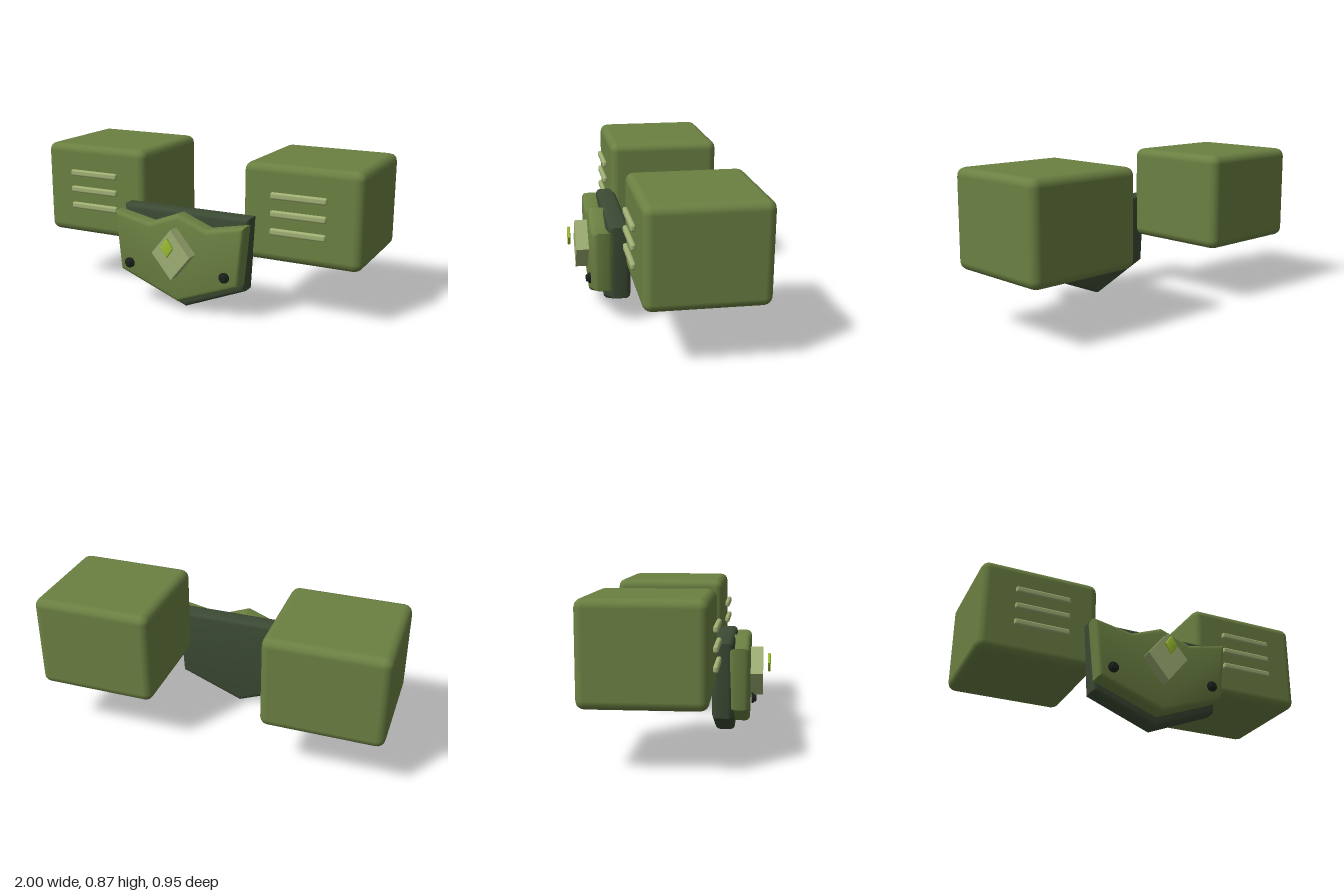
import * as THREE from 'three';
import { toCreasedNormals } from 'three/addons/utils/BufferGeometryUtils.js';
import { RoundedBoxGeometry } from 'three/addons/geometries/RoundedBoxGeometry.js';

const material = (name, color) => {
  const m = new THREE.MeshStandardMaterial({ color });
  m.name = name;
  return m;
};

// Mirrored outline from right-half points, listed from bottom centre to top centre
function mirroredShape(half) {
  const left = half.filter(([x]) => x > 0).map(([x, y]) => [-x, y]).reverse();
  return new THREE.Shape([...half, ...left].map(([x, y]) => new THREE.Vector2(x, y)));
}

// Bevelled plate filling exactly z0..z1 and the given outline
function plate(half, z0, z1, bevel) {
  const geo = new THREE.ExtrudeGeometry(mirroredShape(half), {
    depth: z1 - z0 - 2 * bevel,
    bevelEnabled: bevel > 0,
    bevelThickness: bevel,
    bevelSize: bevel,
    bevelOffset: -bevel,
    bevelSegments: 3,
  });
  geo.translate(0, 0, z0 + bevel);
  return toCreasedNormals(geo, 0.6);
}

export function createModel() {
  const model = new THREE.Group();
  model.name = 'armourBelt';

  const olive = material('olive', 0x6b8042);
  const darkGreen = material('darkGreen', 0x3c4a34);
  const paleGreen = material('paleGreen', 0xa0b074);
  const lime = material('lime', 0x9fc030);
  const black = material('black', 0x1c211d);

  const add = (name, geo, mat, x = 0, y = 0, z = 0) => {
    const mesh = new THREE.Mesh(geo, mat);
    mesh.name = name;
    mesh.position.set(x, y, z);
    model.add(mesh);
    return mesh;
  };

  // Centre buckle: back plate, notched front plate, diamond and gem
  add('backPlate', plate([[0, 0], [0.372, 0.15], [0.396, 0.57]], 0.155, 0.272, 0.028), darkGreen);
  add('frontPlate', plate([[0, 0.055], [0.375, 0.2], [0.408, 0.545], [0.18, 0.5], [0, 0.57]], 0.25, 0.36, 0.028), olive);
  add('diamond', plate([[0, 0.213], [0.118, 0.357], [0, 0.5]], 0.362, 0.434, 0), paleGreen);
  add('gem', plate([[0, 0.353], [0.037, 0.408], [0, 0.463]], 0.461, 0.477, 0.004), lime);

  // Shared geometry for the mirrored parts
  const podGeo = new RoundedBoxGeometry(0.685, 0.545, 0.655, 2, 0.048);
  const ventGeo = new RoundedBoxGeometry(0.32, 0.038, 0.028, 2, 0.012);
  const rivetProfile = [[0, 0], [0.03, 0], [0.03, 0.01], [0.021, 0.012], [0.02, 0.022], [0.015, 0.026], [0, 0.026]];
  const rivetGeo = toCreasedNormals(
    new THREE.LatheGeometry(rivetProfile.map(([r, h]) => new THREE.Vector2(r, h)), 16), 0.6);
  rivetGeo.rotateX(Math.PI / 2);

  for (const [side, s] of [['left', 1], ['right', -1]]) {
    // Hip pod with three vent bars
    add(side + 'Pod', podGeo, olive, s * 0.6575, 0.5925, -0.1475);
    for (const y of [0.5, 0.6, 0.7]) add(side + 'Vent', ventGeo, paleGreen, s * 0.65, y, 0.2);
    // Rivet on the front plate
    add(side + 'Rivet', rivetGeo, black, s * 0.3, 0.255, 0.372);
  }
  return model;
}
